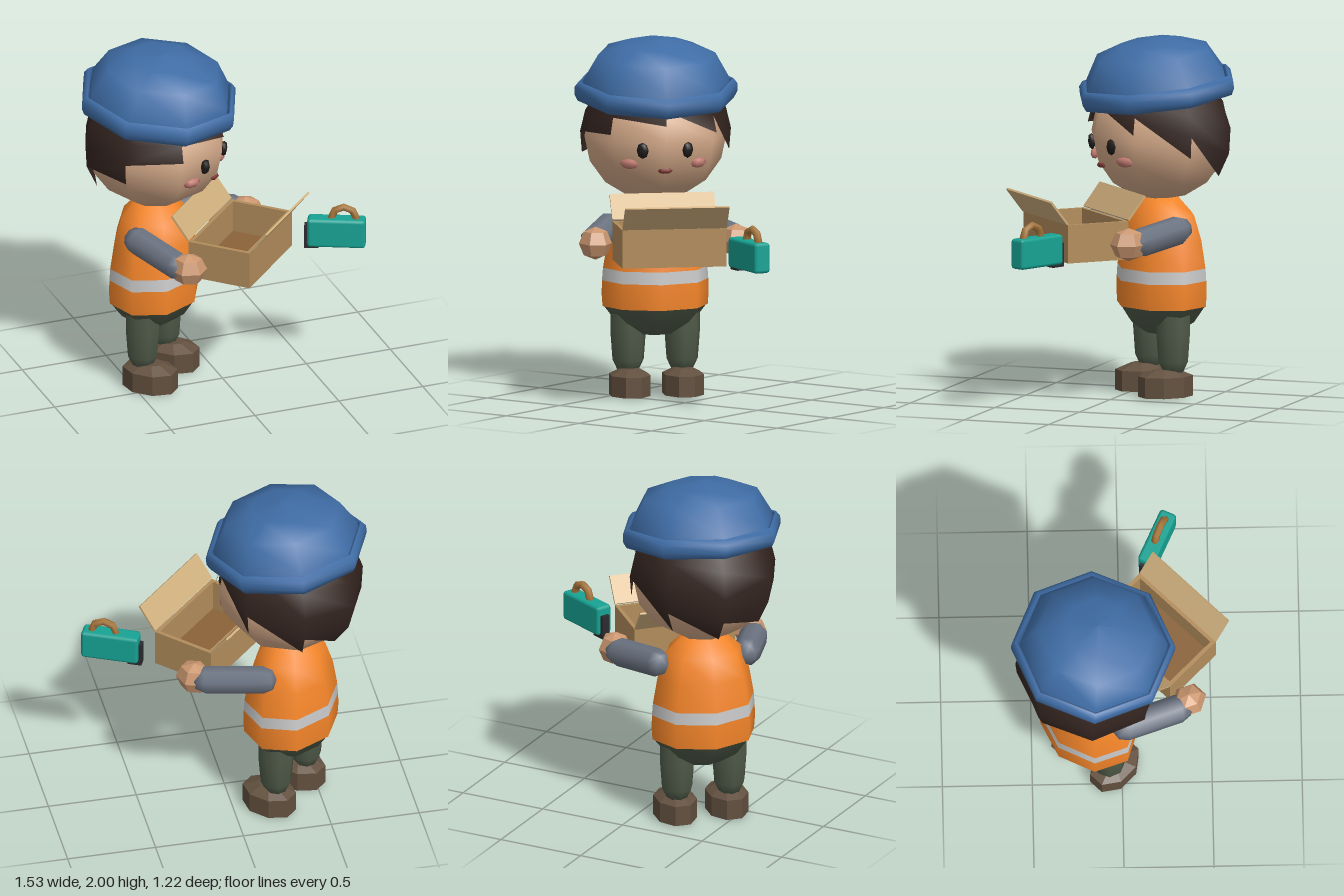
import * as THREE from 'three';
import { RoundedBoxGeometry } from 'three/addons/geometries/RoundedBoxGeometry.js';

const COLOR = {
  hat: 0x3f6da6, hair: 0x33241f, skin: 0xd6ab8a, hand: 0xcb9770, eye: 0x1f1a1a, cheek: 0xc07a70,
  mouth: 0x7a3530, vest: 0xf5862a, stripe: 0xd2d4d6, trousers: 0x4f5a48, shoe: 0x62503f,
  sleeve: 0x6c7482, card: 0xb38d5c, flap: 0xcfae7c, inside: 0x8a6238, teal: 0x17a394,
  handle: 0xa9783c, dark: 0x2b2b30,
};

function add(parent, name, geometry, color, pos = [0, 0, 0], options = {}) {
  const mesh = new THREE.Mesh(geometry, new THREE.MeshStandardMaterial({ color, ...options }));
  mesh.name = name;
  mesh.position.set(...pos);
  parent.add(mesh);
  return mesh;
}

function group(parent, name) {
  const g = new THREE.Group();
  g.name = name;
  parent.add(g);
  return g;
}

// Eight-sided turned form from [radius, height] pairs, listed bottom to top
const turned = (points, sides = 8) =>
  new THREE.LatheGeometry(points.map(([r, y]) => new THREE.Vector2(r, y)), sides);

// Hair cap whose lower edge is high at the forehead and low at the nape
function hairGeometry() {
  const geo = new THREE.SphereGeometry(1, 8, 6);
  const p = geo.attributes.position;
  for (let i = 0; i < p.count; i++) {
    const row = Math.floor(i / 9);
    const az = ((i % 9) / 8) * Math.PI * 2;
    const edgeY = -0.09 + 0.19 * Math.cos(az);
    const theta = Math.acos(edgeY / 0.4) * (row / 6);
    const r = 0.425 * Math.sin(theta);
    p.setXYZ(i, r * Math.sin(az), 0.4 * Math.cos(theta), r * Math.cos(az));
  }
  geo.computeVertexNormals();
  return geo;
}

function buildTorso(figure) {
  const torso = group(figure, 'torso');
  torso.scale.set(1.087, 1, 0.906);
  add(torso, 'trouserSeat', turned([[0, 0.33], [0.1, 0.345], [0.2, 0.41], [0.268, 0.505]]), COLOR.trousers);
  add(torso, 'vestLower', turned([[0.272, 0.5], [0.277, 0.57], [0.275, 0.645]]), COLOR.vest);
  add(torso, 'reflectiveStripe', turned([[0.275, 0.645], [0.27, 0.715]]), COLOR.stripe);
  add(torso, 'vestUpper', turned([[0.27, 0.715], [0.245, 0.87], [0.2, 1.01], [0.11, 1.1], [0, 1.13]]), COLOR.vest);
}

function buildLimbs(figure) {
  for (const side of [-1, 1]) {
    const label = side > 0 ? 'left' : 'right';
    add(figure, label + 'Leg', turned([[0, 0.12], [0.055, 0.13], [0.088, 0.2], [0.1, 0.36], [0.1, 0.48]]),
      COLOR.trousers, [side * 0.152, 0, 0]);

    // Chunky shoe with a tapered top
    const shoe = turned([[0, 0], [1, 0.005], [1, 0.12], [0.45, 0.155], [0, 0.155]]);
    shoe.rotateY(Math.PI / 8).scale(0.117, 1, 0.16);
    add(figure, label + 'Shoe', shoe, COLOR.shoe, [side * 0.15, 0, 0.045], { flatShading: true });

    // Sleeve reaching forward beside the box
    const shoulder = new THREE.Vector3(side * 0.26, 0.95, 0.02);
    const wrist = new THREE.Vector3(side * 0.39, 0.915, 0.31);
    const dir = wrist.clone().sub(shoulder);
    const sleeve = add(figure, label + 'Sleeve', new THREE.CapsuleGeometry(0.08, dir.length(), 2, 8), COLOR.sleeve,
      shoulder.clone().add(wrist).multiplyScalar(0.5).toArray());
    sleeve.quaternion.setFromUnitVectors(new THREE.Vector3(0, 1, 0), dir.normalize());

    const hand = add(figure, label + 'Hand', new THREE.SphereGeometry(0.093, 6, 4), COLOR.hand,
      [side * 0.395, 0.91, 0.385], { flatShading: true });
    hand.scale.z = 1.15;
  }
}

function buildHead(figure) {
  const head = group(figure, 'head');
  head.position.set(0, 1.46, 0.014);
  const skull = new THREE.SphereGeometry(0.4, 8, 8);
  skull.scale(1, 0.925, 1);
  add(head, 'face', skull, COLOR.skin);
  add(head, 'hair', hairGeometry(), COLOR.hair, [0, 0, 0], { side: THREE.DoubleSide });

  // Facial features are flattened studs turned to follow the face
  const feature = (name, color, x, y, z, w, h) => {
    const m = add(head, name, new THREE.SphereGeometry(1, 6, 4), color, [x, y, z]);
    m.scale.set(w, h, 0.022);
    m.rotation.order = 'YXZ';
    m.rotation.set(-y * 1.6, Math.atan2(x, z), 0);
  };
  for (const s of [-1, 1]) {
    feature('eye', COLOR.eye, s * 0.127, -0.04, 0.355, 0.034, 0.046);
    feature('cheek', COLOR.cheek, s * 0.195, -0.12, 0.305, 0.056, 0.03);
  }
  feature('mouth', COLOR.mouth, 0, -0.155, 0.354, 0.042, 0.017);
}

function buildHat(figure) {
  const hat = group(figure, 'hat');
  hat.position.set(0, 1.715, 0.03);
  hat.rotation.x = 0.122;
  add(hat, 'crown', turned([[0.415, -0.05], [0.412, 0.06], [0.33, 0.205], [0.18, 0.262], [0, 0.285]]),
    COLOR.hat, [0, 0, 0], { side: THREE.DoubleSide });
  add(hat, 'brim', turned([[0.42, -0.055], [0.44, -0.055], [0.458, -0.02], [0.458, 0.025],
    [0.435, 0.055], [0.42, 0.045], [0.42, -0.055]]), COLOR.hat);
}

function buildCarton(figure) {
  const box = group(figure, 'openCarton');
  box.position.set(0, 0.81, 0.525);
  const W = 0.586, D = 0.37, H = 0.215, T = 0.022;
  add(box, 'cartonBase', new THREE.BoxGeometry(W, T, D), COLOR.card, [0, T / 2, 0]);
  add(box, 'cartonFloor', new THREE.BoxGeometry(W - 2 * T, 0.01, D - 2 * T), COLOR.inside, [0, T + 0.005, 0]);
  for (const s of [-1, 1]) {
    add(box, 'cartonEnd', new THREE.BoxGeometry(T, H, D), COLOR.card, [s * (W - T) / 2, H / 2, 0]);
    add(box, 'cartonSide', new THREE.BoxGeometry(W - 2 * T, H, T), COLOR.card, [0, H / 2, s * (D - T) / 2]);
    // Long flap leaning outwards
    const flap = add(box, 'cartonFlap', new THREE.BoxGeometry(W, 0.165, 0.012), COLOR.flap,
      [0, H + 0.07, s * (D / 2 + 0.052)]);
    flap.rotation.x = s * 0.66;
  }
}

function buildToolCase(model) {
  const tool = group(model, 'toolCase');
  tool.position.set(0.597, 0.905, 0.215);
  tool.rotation.y = -0.436;
  add(tool, 'caseBody', new RoundedBoxGeometry(0.325, 0.17, 0.098, 1, 0.018), COLOR.teal);
  add(tool, 'caseHandle', new THREE.TorusGeometry(0.07, 0.022, 6, 4, Math.PI), COLOR.handle, [0.04, 0.08, 0]);
  add(tool, 'caseEndBlock', new THREE.BoxGeometry(0.08, 0.135, 0.05), COLOR.dark, [-0.14, -0.0325, -0.005]);
}

export function createModel() {
  const model = new THREE.Group();
  model.name = 'courier';

  // The figure stands left of centre and faces diagonally
  const figure = group(model, 'figure');
  figure.position.set(-0.34, 0, -0.18);
  figure.rotation.y = Math.PI / 4;
  buildTorso(figure);
  buildLimbs(figure);
  buildHead(figure);
  buildHat(figure);
  buildCarton(figure);
  buildToolCase(model);
  return model;
}
